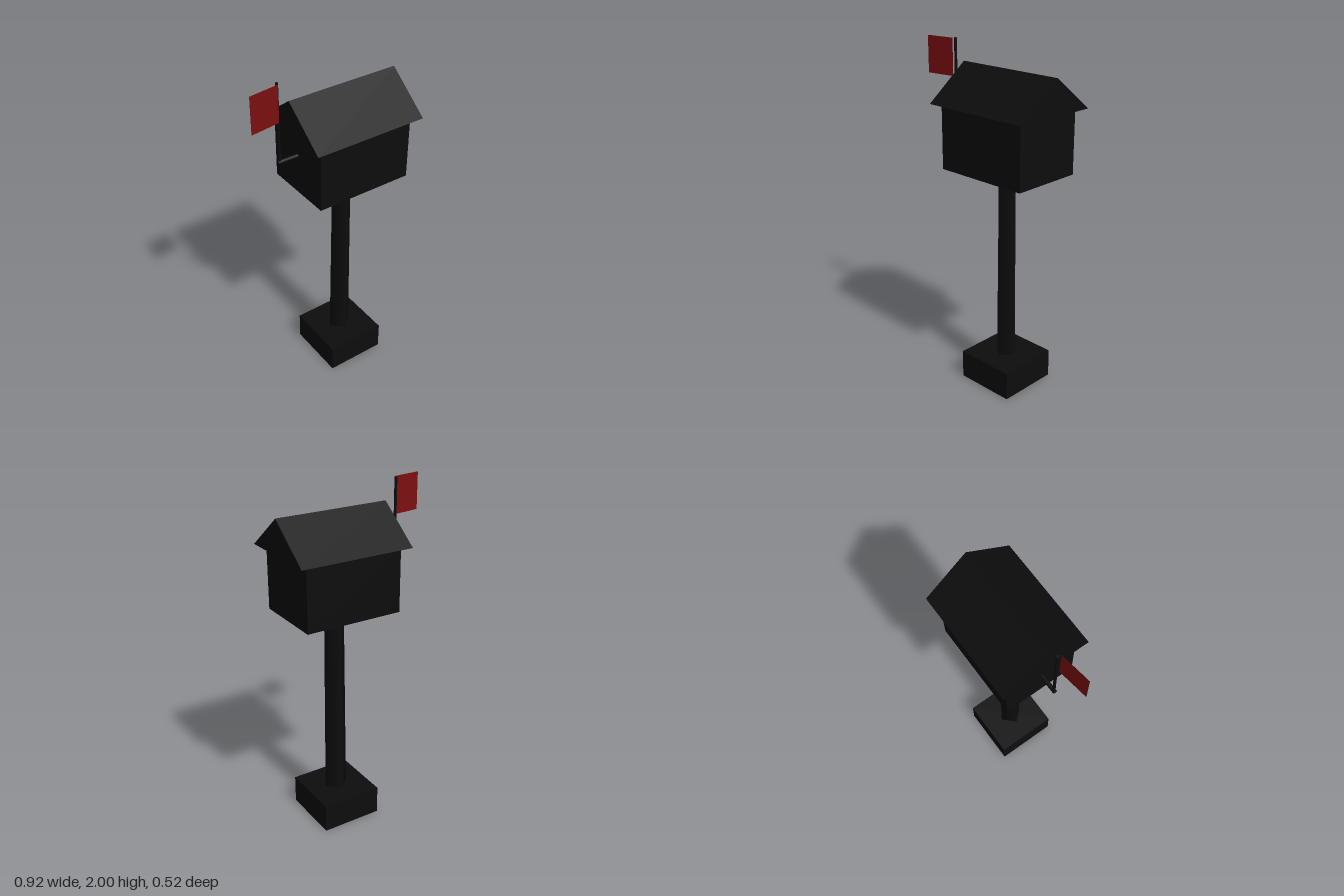
import * as THREE from 'three';

export function createModel() {
  const group = new THREE.Group();
  const black = new THREE.MeshStandardMaterial({ color: 0x0d0d0d });
  black.name = 'black paint';
  const red = new THREE.MeshStandardMaterial({ color: 0x7c0f10, side: THREE.DoubleSide });
  red.name = 'red flag';

  const add = (name, geometry, material, x, y, z) => {
    const mesh = new THREE.Mesh(geometry, material);
    mesh.name = name;
    mesh.position.set(x, y, z);
    group.add(mesh);
    return mesh;
  };
  const cx = 0.12; // centre line of base, post and box

  // Foot block and tapered four-sided post, corners on the axes
  add('base', new THREE.BoxGeometry(0.365, 0.17, 0.37), black, cx, 0.085, 0);
  add('post', new THREE.CylinderGeometry(0.064, 0.073, 1.14, 4), black, cx, 0.74, 0);

  // Letter box
  add('box', new THREE.BoxGeometry(0.58, 0.37, 0.43), black, cx, 1.495, 0);

  // Gabled roof with its ridge along x
  const gable = new THREE.Shape([
    new THREE.Vector2(-0.26, 0),
    new THREE.Vector2(0.26, 0),
    new THREE.Vector2(0, 0.2),
  ]);
  const roof = new THREE.ExtrudeGeometry(gable, { depth: 0.675, bevelEnabled: false });
  roof.translate(0, 0, -0.3375);
  roof.rotateY(Math.PI / 2);
  add('roof', roof, black, 0.1225, 1.68, 0);

  // Flag arm and upright pole
  const arm = new THREE.CylinderGeometry(0.012, 0.012, 0.125, 8);
  arm.rotateZ(Math.PI / 2);
  add('flagArm', arm, black, -0.2295, 1.542, 0);
  add('flagPole', new THREE.CylinderGeometry(0.008, 0.008, 0.45, 8), black, -0.281, 1.775, 0);

  // Flat flag, turned slightly forward at its free end
  const flag = add('flag', new THREE.PlaneGeometry(0.178, 0.213), red, -0.3735, 1.8935, 0.031);
  flag.rotation.y = Math.atan2(0.025, 0.175);

  return group;
}
